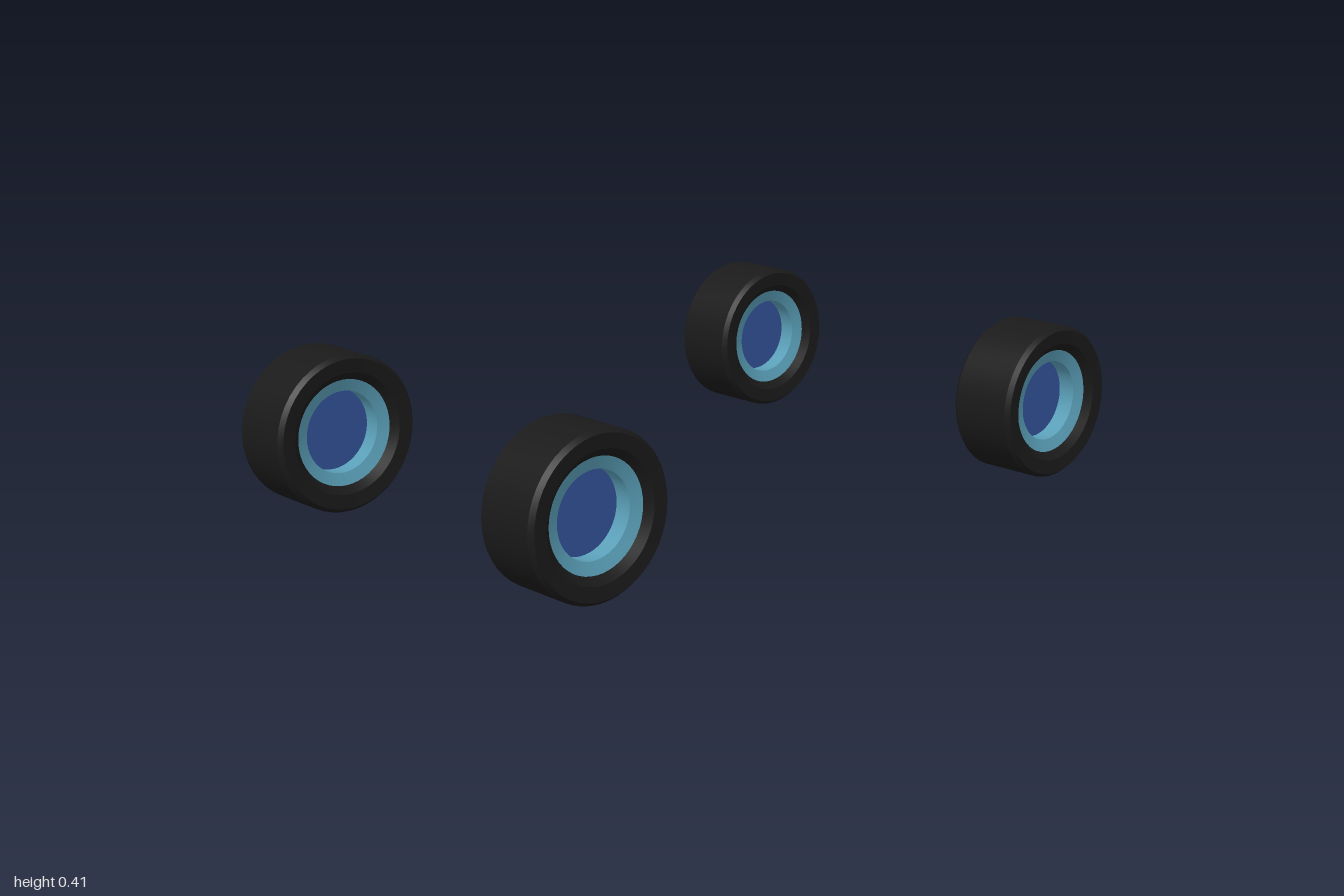
import * as THREE from 'three';
import { toCreasedNormals } from 'three/addons/utils/BufferGeometryUtils.js';

const RADIUS = 0.207, HALF = 0.094, SEGMENTS = 48;

// Revolve a half profile of [radius, depth in from the side face], mirrored to both sides, about the x axis
function revolve(half) {
  const outerSide = half.map(([r, d]) => new THREE.Vector2(r, HALF - d));
  const innerSide = half.map(([r, d]) => new THREE.Vector2(r, d - HALF)).reverse();
  const geometry = new THREE.LatheGeometry([...innerSide, ...outerSide], SEGMENTS);
  geometry.rotateZ(-Math.PI / 2);
  return toCreasedNormals(geometry, 0.5);
}

function part(name, geometry, color) {
  const material = new THREE.MeshStandardMaterial({ color, side: THREE.DoubleSide });
  const mesh = new THREE.Mesh(geometry, material);
  mesh.name = name;
  return mesh;
}

function createWheel(name) {
  const wheel = new THREE.Group();
  wheel.name = name;

  // Tyre: flat tread, bevelled shoulders, sidewalls dipping in to the rim
  const tyre = revolve([[RADIUS, 0.012], [0.197, 0], [0.16, 0.003], [0.14, 0.02]].map((p) => p));
  wheel.add(part('tyre', tyre, 0x1a1a1a));

  // Rim: slightly dished ring on each side, joined by the bore
  const rim = new THREE.LatheGeometry(
    [[0.14, HALF - 0.02], [0.108, HALF - 0.03], [0.108, 0.03 - HALF], [0.14, 0.02 - HALF]]
      .map(([r, y]) => new THREE.Vector2(r, y)), SEGMENTS);
  rim.rotateZ(-Math.PI / 2);
  wheel.add(part('rim', toCreasedNormals(rim, 0.5), 0x5a9fb8));

  // Hub disc set deep inside the bore
  const hub = new THREE.CylinderGeometry(0.108, 0.108, 0.036, SEGMENTS);
  hub.rotateZ(-Math.PI / 2);
  wheel.add(part('hubDisc', toCreasedNormals(hub, 0.5), 0x34539a));
  return wheel;
}

export function createModel() {
  const model = new THREE.Group();
  model.name = 'wheelSet';
  // Front and back axles have slightly different tracks
  const places = [
    ['frontLeftWheel', 0.494, 0.783],
    ['frontRightWheel', -0.485, 0.793],
    ['backLeftWheel', 0.536, -0.793],
    ['backRightWheel', -0.538, -0.79],
  ];
  for (const [name, x, z] of places) {
    const wheel = createWheel(name);
    wheel.position.set(x, RADIUS, z);
    model.add(wheel);
  }
  return model;
}
